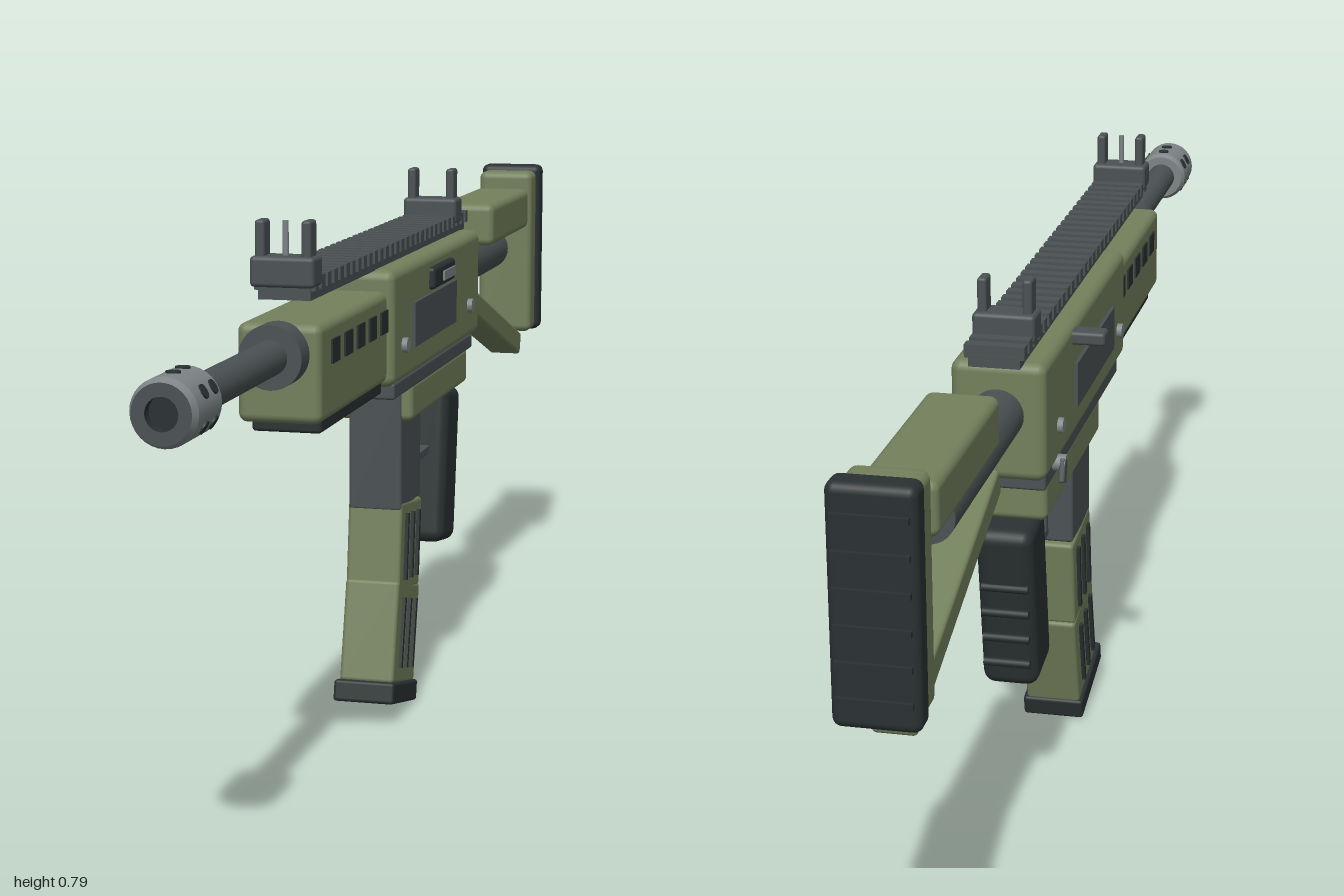
import * as THREE from 'three';
import { RoundedBoxGeometry } from 'three/addons/geometries/RoundedBoxGeometry.js';

const CX = 0.016; // centre plane of the body

function mat(name, color) {
  const m = new THREE.MeshStandardMaterial({ color });
  m.name = name;
  return m;
}

export function createModel() {
  const root = new THREE.Group();
  root.name = 'toyRifle';
  const green = mat('olive green', 0x73805c);
  const gun = mat('gunmetal', 0x4b5254);
  const dark = mat('dark rubber', 0x2a3132);
  const light = mat('light steel', 0x7e8587);

  function add(name, geometry, material, x, y, z, tilt = 0, parent = root) {
    const m = new THREE.Mesh(geometry, material);
    m.name = name;
    m.position.set(x, y, z);
    m.rotation.x = tilt;
    parent.add(m);
    return m;
  }
  // box centred on the body plane; r > 0 rounds the edges
  function box(name, material, w, h, d, y, z, r = 0, tilt = 0, x = CX, parent = root) {
    const g = r ? new RoundedBoxGeometry(w, h, d, 3, r) : new THREE.BoxGeometry(w, h, d);
    return add(name, g, material, x, y, z, tilt, parent);
  }
  // box given by its y and z limits
  function span(name, material, w, y0, y1, z0, z1, r = 0, x = CX) {
    return box(name, material, w, y1 - y0, z1 - z0, (y0 + y1) / 2, (z0 + z1) / 2, r, 0, x);
  }
  // cylinder along z
  function rod(name, material, r, z0, z1, y) {
    const g = new THREE.CylinderGeometry(r, r, z1 - z0, 32).rotateX(Math.PI / 2);
    return add(name, g, material, CX, y, (z0 + z1) / 2);
  }
  // cylinder along x
  function pin(name, material, r, length, y, z, x = CX) {
    const g = new THREE.CylinderGeometry(r, r, length, 16).rotateZ(Math.PI / 2);
    return add(name, g, material, x, y, z);
  }

  // Receiver
  span('upperReceiver', green, 0.13, 0.522, 0.688, -0.383, 0.195, 0.014);
  span('receiverSeam', gun, 0.118, 0.5, 0.524, -0.355, 0.165, 0.004);
  span('lowerReceiver', green, 0.112, 0.447, 0.505, -0.335, 0.043, 0.01);
  for (const s of [-1, 1]) span('sidePanel', gun, 0.008, 0.565, 0.63, -0.19, 0.083, 0, CX + s * 0.066);
  for (const z of [0.137, -0.297]) pin('receiverPin', light, 0.011, 0.146, 0.576, z);
  span('ejectionPort', dark, 0.022, 0.635, 0.668, -0.163, -0.024, 0.006, CX + 0.063);
  span('boltCover', light, 0.004, 0.643, 0.657, -0.152, -0.075, 0, CX + 0.075);
  span('chargingHandle', gun, 0.055, 0.661, 0.68, -0.205, -0.173, 0.005, -0.067);
  pin('selectorHub', light, 0.012, 0.022, 0.523, -0.3, -0.05);
  box('selectorLever', gun, 0.009, 0.034, 0.018, 0.514, -0.306, 0.003, 0.3, -0.057);

  // Handguard with vents
  span('handguard', green, 0.112, 0.53, 0.66, 0.19, 0.545, 0.012);
  span('handguardUnderside', dark, 0.094, 0.513, 0.535, 0.19, 0.51, 0.005);
  for (let i = 0; i < 5; i++) {
    for (const s of [-1, 1]) {
      box('vent', dark, 0.006, 0.032, 0.038, 0.619, 0.474 - i * 0.0643, 0, 0, CX + s * 0.0555);
    }
  }

  // Barrel and muzzle
  const barrelY = 0.622;
  rod('barrelCollar', gun, 0.042, 0.54, 0.582, barrelY);
  rod('barrel', gun, 0.023, 0.57, 0.92, barrelY);
  const profile = [[0.022, 0.9], [0.036, 0.9], [0.041, 0.907], [0.041, 0.99], [0.036, 1]]
    .map(([r, z]) => new THREE.Vector2(r, z));
  const sleeve = new THREE.Group();
  sleeve.name = 'muzzle';
  root.add(sleeve);
  for (let i = 0; i < profile.length - 1; i++) {
    const g = new THREE.LatheGeometry([profile[i], profile[i + 1]], 32).rotateX(Math.PI / 2);
    add('muzzleSleeve', g, light, CX, barrelY, 0, 0, sleeve);
  }
  add('muzzleFace', new THREE.RingGeometry(0.02, 0.036, 32), gun, CX, barrelY, 1, 0, sleeve);
  add('bore', new THREE.CircleGeometry(0.021, 32), dark, CX, barrelY, 0.985, 0, sleeve);
  const boreWall = new THREE.LatheGeometry([new THREE.Vector2(0.02, 1), new THREE.Vector2(0.02, 0.985)], 32);
  add('boreWall', boreWall.rotateX(Math.PI / 2), dark, CX, barrelY, 0, 0, sleeve);
  for (let i = 0; i < 6; i++) {
    const a = Math.PI / 6 + i * Math.PI / 3;
    for (const z of [0.923, 0.957]) {
      const g = new THREE.CylinderGeometry(0.009, 0.009, 0.006, 12).rotateZ(Math.PI / 2);
      const hole = add('muzzlePort', g, dark, CX + Math.cos(a) * 0.0395, barrelY + Math.sin(a) * 0.0395, z, 0, sleeve);
      hole.rotation.z = a;
    }
  }

  // Top rail
  span('railBase', gun, 0.07, 0.687, 0.704, -0.4, 0.515);
  const teeth = 30;
  for (let i = 0; i < teeth; i++) {
    box('railTooth', gun, 0.082, 0.018, 0.017, 0.708, 0.505 - i * 0.895 / (teeth - 1));
  }

  // Sights
  for (const [name, z] of [['frontSight', 0.507], ['rearSight', -0.323]]) {
    span(name + 'Base', gun, 0.086, 0.704, 0.744, z - 0.024, z + 0.022, 0.006);
    for (const s of [-1, 1]) span(name + 'Wing', gun, 0.013, 0.735, 0.79, z - 0.015, z + 0.015, 0.004, CX + s * 0.031);
  }
  add('sightPost', new THREE.CylinderGeometry(0.004, 0.004, 0.05, 10), light, CX, 0.764, 0.507);

  // Magazine well and magazine
  span('magazineWell', gun, 0.08, 0.312, 0.495, -0.08, 0.047, 0.005);
  function magazineSection(name, h, d, y, z, tilt, ribLength) {
    const g = new THREE.Group();
    g.name = name;
    g.position.set(CX, y, z);
    g.rotation.x = tilt;
    root.add(g);
    box(name + 'Body', green, 0.082, h, d, 0, 0, 0.006, 0, 0, g);
    for (const s of [-1, 1]) {
      for (const k of [-1, 0, 1]) {
        box('magazineRib', dark, 0.008, ribLength, 0.009, 0, k * 0.036, 0, 0, s * 0.042, g);
      }
    }
  }
  magazineSection('upperMagazine', 0.136, 0.13, 0.25, -0.011, -0.13, 0.1);
  magazineSection('lowerMagazine', 0.152, 0.138, 0.119, 0.014, -0.25, 0.105);
  box('magazineFloor', dark, 0.092, 0.032, 0.155, 0.034, 0.04, 0.005, -0.23);

  // Trigger and guard
  span('guardFront', gun, 0.028, 0.344, 0.45, -0.143, -0.13);
  span('guardBottom', gun, 0.028, 0.344, 0.356, -0.265, -0.13);
  box('trigger', light, 0.016, 0.06, 0.011, 0.427, -0.204, 0, -0.25);

  // Grip with back ridges
  box('grip', dark, 0.08, 0.25, 0.1, 0.319, -0.295, 0.018, -0.155);
  for (let i = 0; i < 4; i++) {
    pin('gripRidge', dark, 0.006, 0.066, 0.35 - i * 0.039, -0.349 + i * 0.003);
  }

  // Stock
  rod('bufferTube', gun, 0.036, -0.755, -0.375, 0.616);
  span('cheekRest', green, 0.096, 0.64, 0.71, -0.882, -0.565, 0.012);
  span('cheekLink', green, 0.056, 0.652, 0.698, -0.91, -0.875);
  box('stockStrut', green, 0.056, 0.04, 0.46, 0.493, -0.705, 0.006, -0.312);
  span('stockEnd', green, 0.096, 0.447, 0.737, -0.957, -0.902, 0.012);
  span('buttPad', dark, 0.108, 0.445, 0.746, -0.994, -0.952, 0.012);
  for (let i = 0; i < 6; i++) {
    box('buttPadRidge', dark, 0.092, 0.008, 0.012, 0.483 + i * 0.045, -0.994);
  }
  return root;
}
